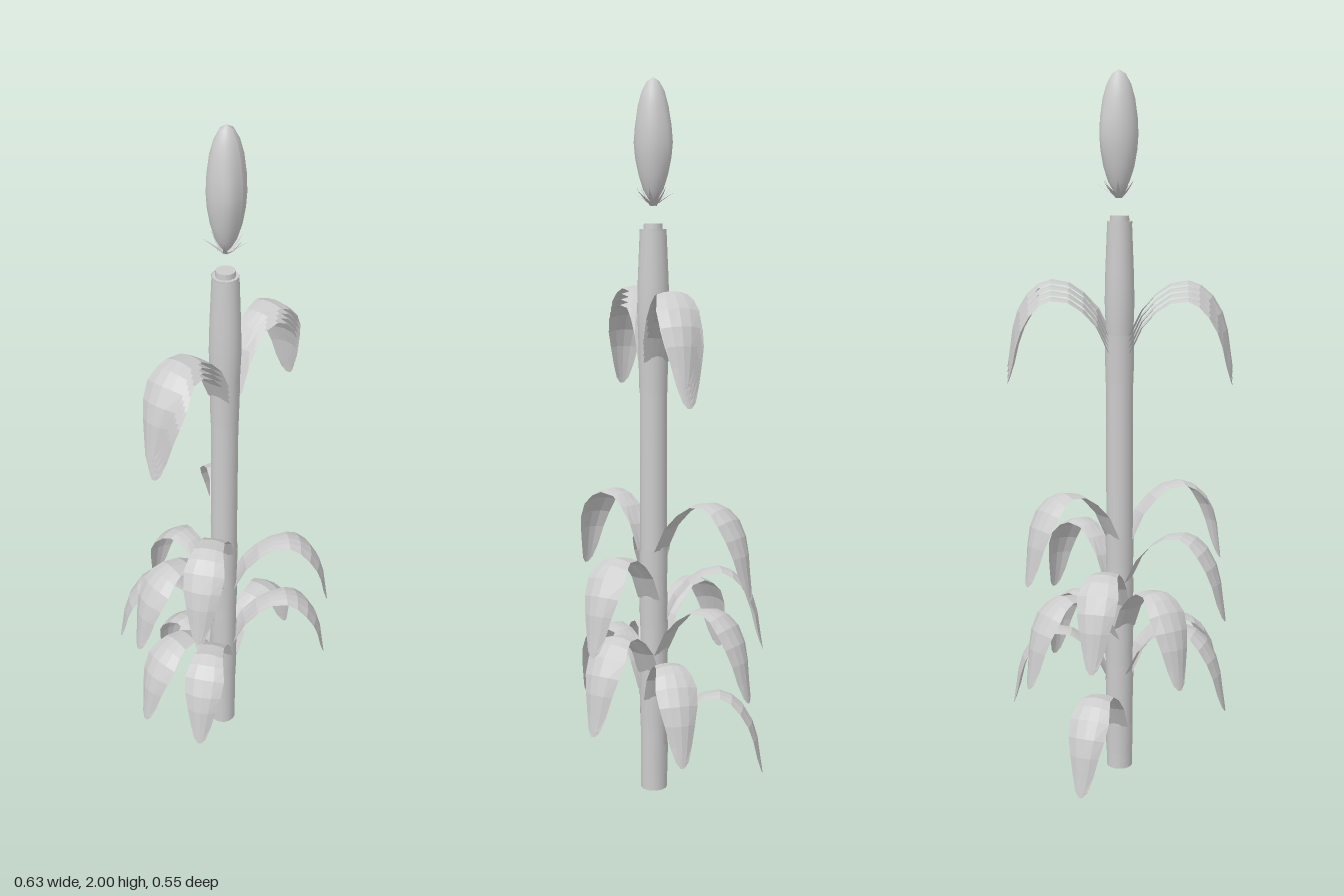
import * as THREE from 'three';

const leafMat = new THREE.MeshStandardMaterial({ color: 0xcccccc, flatShading: true, side: THREE.DoubleSide });
const smoothMat = new THREE.MeshStandardMaterial({ color: 0xcccccc, side: THREE.DoubleSide });

// Leaf spine stations: reach, height relative to the peak, half width, edge droop
const LEAF = [
  [0.032, -0.155, 0.036, -0.006], [0.064, -0.085, 0.036, -0.004], [0.1, -0.038, 0.035, 0.002],
  [0.14, -0.009, 0.034, 0.005], [0.19, 0, 0.041, 0.008], [0.225, -0.012, 0.05, 0.011],
  [0.258, -0.04, 0.058, 0.015], [0.285, -0.085, 0.053, 0.016], [0.3, -0.135, 0.042, 0.014],
  [0.308, -0.19, 0.03, 0.01], [0.314, -0.23, 0.018, 0.004], [0.316, -0.246, 0.006, 0],
];

// Arching blade that runs out along +x, built from cross-sections
function leafGeometry() {
  const across = 4, pos = [], idx = [];
  LEAF.forEach(([r, y, w, droop], i) => {
    const a = LEAF[Math.max(i - 1, 0)], b = LEAF[Math.min(i + 1, LEAF.length - 1)];
    const len = Math.hypot(b[0] - a[0], b[1] - a[1]);
    const nx = -(b[1] - a[1]) / len, ny = (b[0] - a[0]) / len;
    for (let j = 0; j <= across; j++) {
      const t = (j / across) * 2 - 1, d = -droop * t * t;
      pos.push(r + nx * d, y + ny * d, t * w);
      if (i && j) {
        const k = i * (across + 1) + j, p = k - across - 1;
        idx.push(p - 1, p, k, p - 1, k, k - 1);
      }
    }
  });
  const g = new THREE.BufferGeometry();
  g.setAttribute('position', new THREE.Float32BufferAttribute(pos, 3));
  g.setIndex(idx);
  g.computeVertexNormals();
  return g;
}

function lathe(points, sides) {
  return new THREE.LatheGeometry(points.map(([r, y]) => new THREE.Vector2(r, y)), sides);
}

export function createModel() {
  const plant = new THREE.Group();
  plant.name = 'plant';
  const axis = new THREE.Group();
  axis.name = 'plantAxis';
  axis.position.set(-0.003, 0, 0.036);
  plant.add(axis);
  const add = (name, geo, mat, parent = axis) => {
    const m = new THREE.Mesh(geo, mat);
    m.name = name;
    parent.add(m);
    return m;
  };

  // Stalk: plain lower length, slightly swollen upper sheath, stub on top
  add('lowerStalk', new THREE.CylinderGeometry(0.038, 0.038, 1.27, 16).translate(0, 0.635, 0), smoothMat);
  const sheath = add('upperStalk', lathe([[0.038, 1.25], [0.042, 1.3], [0.045, 1.38], [0.043, 1.46], [0.037, 1.6]], 16), smoothMat);
  sheath.scale.x = 0.92;
  add('stalkShoulder', new THREE.CylinderGeometry(0.035, 0.035, 0.006, 16).translate(0, 1.597, 0), smoothMat);
  add('stalkStub', new THREE.CylinderGeometry(0.026, 0.028, 0.03, 12).translate(0, 1.6, 0), smoothMat);

  // Leaves: direction x, direction z, peak height; the top tier is a nested stack on each side
  const leaves = [
    [0.24, -0.2, 0.86], [-0.275, 0.12, 0.855], [-0.3, -0.08, 0.73], [0.2, 0.215, 0.72],
    [0.058, -0.315, 0.65], [-0.165, -0.235, 0.59], [0.24, -0.2, 0.56], [0.2, 0.215, 0.5],
    [-0.3, -0.06, 0.45], [-0.275, 0.12, 0.45], [0.3, 0.01, 0.425], [0.09, -0.305, 0.285],
  ];
  for (const s of [1, -1]) {
    for (let i = 0; i < 4; i++) leaves.push([s * 0.3, s * (0.006 - i * 0.004), 1.44 - i * 0.016]);
  }
  const blade = leafGeometry();
  // Half-round leaf base that clasps the stalk below each blade
  const clasp = new THREE.CylinderGeometry(0.041, 0.039, 0.09, 8, 1, true, 0, Math.PI).translate(0, -0.195, 0);
  for (const [dx, dz, peak] of leaves) {
    const leaf = new THREE.Group();
    leaf.name = 'leaf';
    axis.add(leaf);
    leaf.position.y = peak;
    leaf.rotation.y = Math.atan2(-dz, dx);
    add('leafBlade', blade, leafMat, leaf);
    add('leafClasp', clasp, smoothMat, leaf);
  }

  // Ear floating above the stalk, with a husk bulge on two opposite sides
  const ear = new THREE.Group();
  ear.name = 'ear';
  ear.position.x = 0.002;
  axis.add(ear);
  const body = lathe([[0, 1.665], [0.014, 1.68], [0.029, 1.705], [0.042, 1.745], [0.05, 1.79], [0.053, 1.83],
    [0.051, 1.875], [0.044, 1.925], [0.033, 1.963], [0.018, 1.99], [0, 2]], 24);
  const p = body.attributes.position;
  for (let i = 0; i < p.count; i++) {
    const x = p.getX(i), y = p.getY(i), z = p.getZ(i);
    const side = Math.max(0, -Math.sin(2 * Math.atan2(z, x)));
    const s = 1 + 0.16 * side ** 4 * Math.max(0, 1 - Math.abs(y - 1.82) / 0.12);
    p.setXYZ(i, x * s, y, z * s * 0.94);
  }
  body.computeVertexNormals();
  add('earBody', body, smoothMat, ear);

  // Pointed bracts flaring out below the ear
  for (let i = 0; i < 12; i++) {
    const long = i % 2 === 0;
    const curve = new THREE.QuadraticBezierCurve3(
      new THREE.Vector3(0.003, 1.662, 0), new THREE.Vector3(0.03, 1.68, 0),
      new THREE.Vector3(long ? 0.06 : 0.048, long ? 1.7 : 1.712, 0));
    const geo = new THREE.PlaneGeometry(1, 1, 1, 5);
    const q = geo.attributes.position;
    for (let k = 0; k < q.count; k++) {
      const t = q.getY(k) + 0.5, c = curve.getPoint(t);
      q.setXYZ(k, c.x, c.y, q.getX(k) * 0.018 * (1 - t));
    }
    geo.computeVertexNormals();
    add('bract', geo, smoothMat, ear).rotation.y = (i / 12) * Math.PI * 2;
  }
  return plant;
}
